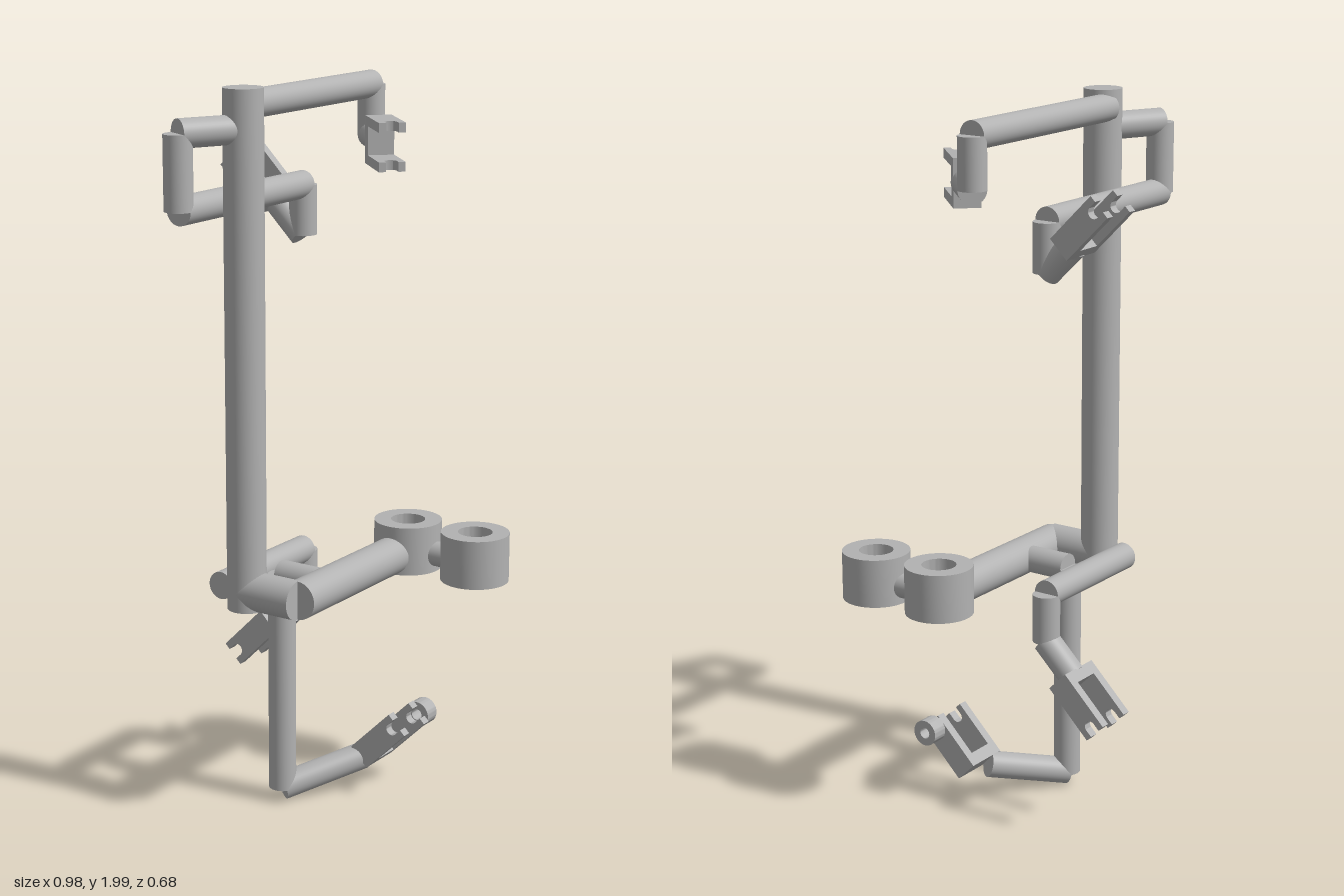
import * as THREE from 'three';
import { toCreasedNormals } from 'three/addons/utils/BufferGeometryUtils.js';

const V = (x, y, z) => new THREE.Vector3(x, y, z);

export function createModel() {
  const model = new THREE.Group();
  model.name = 'pipeFrame';
  const grey = new THREE.MeshStandardMaterial({ color: 0xb2b2b2 });
  grey.name = 'plain grey';

  const addMesh = (name, geometry, parent = model) => {
    const mesh = new THREE.Mesh(geometry, grey);
    mesh.name = name;
    parent.add(mesh);
    return mesh;
  };

  // Flat-ended round bar between two points
  const bar = (name, a, b, r = 0.038) => {
    const dir = b.clone().sub(a);
    const mesh = addMesh(name, new THREE.CylinderGeometry(r, r, dir.length(), 40));
    mesh.position.copy(a).lerp(b, 0.5);
    mesh.quaternion.setFromUnitVectors(V(0, 1, 0), dir.normalize());
    return mesh;
  };

  // Chain of bars through a list of points
  const chain = (name, points, r) => {
    for (let i = 1; i < points.length; i++) bar(name + i, points[i - 1], points[i], r);
  };

  const extrude = (shape, depth) => toCreasedNormals(
    new THREE.ExtrudeGeometry(shape, { depth, bevelEnabled: false, curveSegments: 24 }), 0.6);

  // Round sleeve with a bore, running along +z from 0
  const sleeve = (outer, inner, depth) => {
    const shape = new THREE.Shape().absarc(0, 0, outer, 0, Math.PI * 2);
    shape.holes.push(new THREE.Path().absarc(0, 0, inner, 0, Math.PI * 2, true));
    return extrude(shape, depth);
  };

  // Clevis: two notched cheeks on a base block; x runs to the tips, z across
  const LEN = 0.175, HALF_W = 0.0365, HALF_GAP = 0.065, CHEEK = 0.026, NOTCH = 0.017;
  const cheekShape = new THREE.Shape();
  cheekShape.moveTo(0, -HALF_W);
  cheekShape.lineTo(LEN, -HALF_W);
  cheekShape.lineTo(LEN, -NOTCH);
  cheekShape.lineTo(LEN - 0.022, -NOTCH);
  cheekShape.absarc(LEN - 0.022, 0, NOTCH, -Math.PI / 2, Math.PI / 2, true);
  cheekShape.lineTo(LEN, NOTCH);
  cheekShape.lineTo(LEN, HALF_W);
  cheekShape.lineTo(0, HALF_W);
  cheekShape.closePath();
  const cheek = extrude(cheekShape, CHEEK);

  const fork = (name, back, dir, side) => {
    const group = new THREE.Group();
    group.name = name;
    const d = dir.clone().normalize(), s = side.clone().normalize();
    const n = s.clone().cross(d);
    group.quaternion.setFromRotationMatrix(new THREE.Matrix4().makeBasis(d, n, s));
    group.position.copy(back);
    addMesh('cheekA', cheek, group).position.z = -HALF_GAP;
    addMesh('cheekB', cheek, group).position.z = HALF_GAP - CHEEK;
    const base = new THREE.BoxGeometry(0.035, HALF_W * 2, (HALF_GAP - CHEEK) * 2);
    addMesh('forkBase', base, group).position.x = 0.0175;
    model.add(group);
    return group;
  };

  const cos30 = Math.cos(Math.PI / 6), root = Math.SQRT1_2;
  const across = V(cos30, 0, -0.5);
  const slope = (h, v) => V(0.5 * root * h, root * v, cos30 * root * h);

  // Main upright
  bar('mainPole', V(-0.27, 0.617, 0.15), V(-0.27, 2, 0.15), 0.053);

  // Top arm with level fork
  chain('topArm', [V(-0.27, 1.95, 0.122), V(0.267, 1.95, -0.188),
    V(0.267, 1.812, -0.188), V(0.235, 1.812, -0.07)]);
  fork('topFork', V(0.236, 1.812, -0.085), V(-0.259, 0, 0.966), V(0, 1, 0));

  // Second arm, dropping beside the pole, with fork tilted up
  chain('middleArm', [V(-0.27, 1.895, 0.15), V(-0.455, 1.895, 0.163), V(-0.455, 1.7, 0.163),
    V(0.02, 1.7, -0.107), V(0.02, 1.564, -0.107), V(-0.022, 1.647, -0.18)]);
  fork('middleFork', V(-0.019, 1.644, -0.177), slope(-1, 1), across);

  // Rear lower arm with fork tilted down
  chain('rearArm', [V(-0.32, 0.668, 0.091), V(0.02, 0.668, -0.105),
    V(0.02, 0.532, -0.105), V(-0.022, 0.449, -0.18)]);
  fork('rearFork', V(-0.019, 0.452, -0.177), slope(-1, -1), across);

  // Thick front arm carrying two sleeves
  chain('frontArm', [V(-0.27, 0.668, 0.15), V(-0.188, 0.668, 0.291), V(0.217, 0.668, 0.057)], 0.053);
  const centres = [V(0.286, 0.617, 0.018), V(0.395, 0.617, 0.207)];
  centres.forEach((c, i) => {
    const ring = addMesh('sleeve' + (i + 1), sleeve(0.095, 0.048, 0.137));
    ring.rotation.x = -Math.PI / 2;
    ring.position.copy(c);
  });
  const link = centres.map((c, i) => c.clone().lerp(centres[1 - i], 0.36).setY(0.668));
  bar('sleeveLink', link[0], link[1], 0.035);

  // Hanging lower arm with fork and pivot bush
  chain('lowerArm', [V(-0.05, 0.668, 0.209), V(-0.13, 0.668, 0.07),
    V(-0.13, 0.043, 0.07), V(0.11, 0.1, 0.092)]);
  const lower = fork('lowerFork', V(0.141, 0.107, 0.083), slope(1, 1), across);
  addMesh('pivotBush', sleeve(0.037, 0.016, 0.047), lower).position.set(LEN - 0.02, 0, HALF_GAP);

  return model;
}
